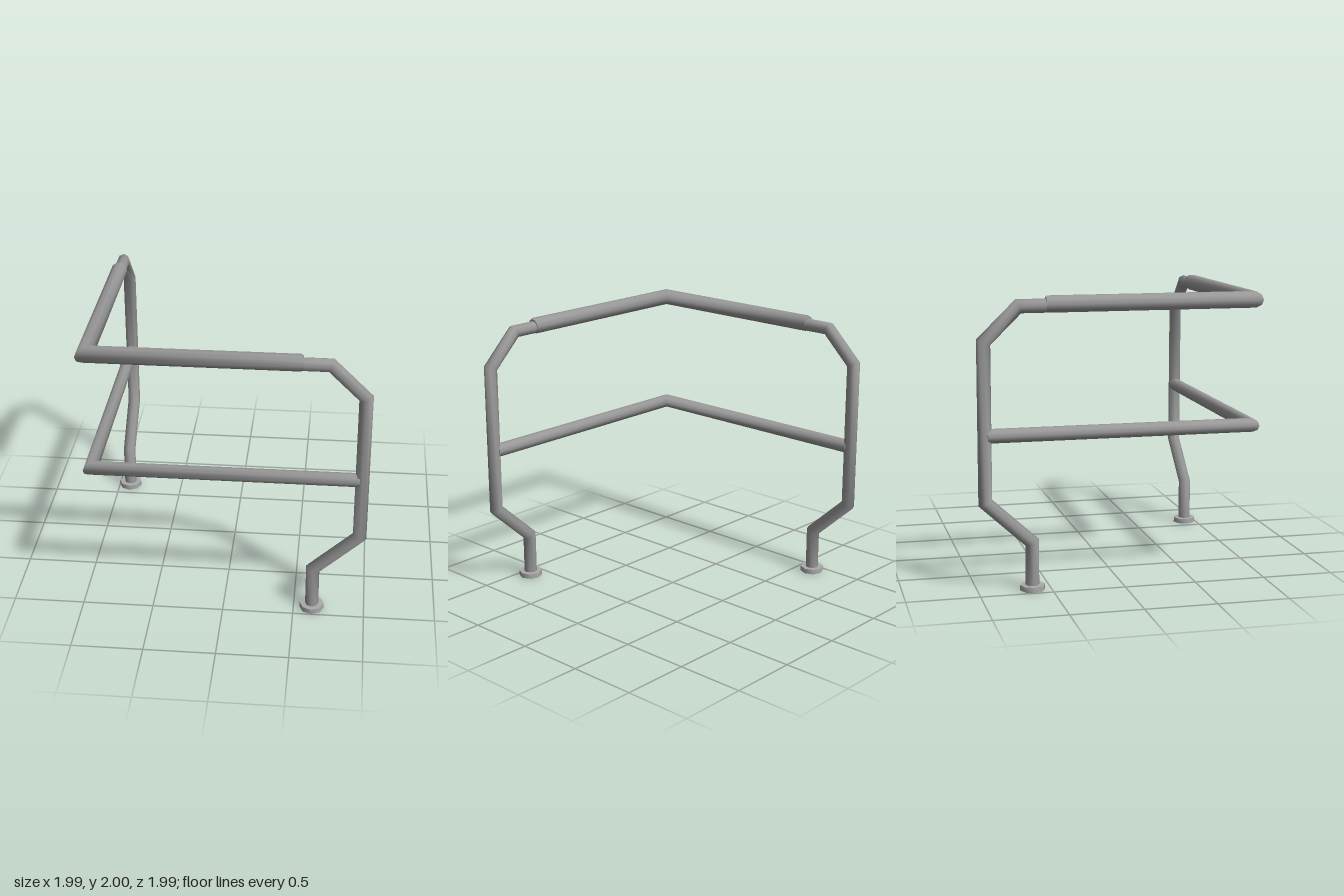
import * as THREE from 'three';
import { toCreasedNormals } from 'three/addons/utils/BufferGeometryUtils.js';

const C = 0.911; // distance of both rail planes from the centre
const V = (x, y, z) => new THREE.Vector3(x, y, z);

// Mitred pipe along a path lying in the plane with normal n; radii per point.
// Rings are shared at the bends, so the shading flows round the corners.
function pipe(points, n, radii, sides) {
  const pos = [], nor = [], idx = [];
  const put = (p, m) => {
    pos.push(p.x, p.y, p.z);
    nor.push(m.x, m.y, m.z);
    return pos.length / 3 - 1;
  };
  const dirs = points.slice(1).map((p, i) => p.clone().sub(points[i]).normalize());
  const last = points.length - 1;
  points.forEach((p, i) => {
    const before = dirs[i - 1] ?? dirs[i], after = dirs[i] ?? before;
    const m = before.clone().add(after).normalize();
    const across = n.clone().cross(m);
    const stretch = 1 / m.dot(after); // widens the ring on the mitre plane
    const ring = [];
    for (let j = 0; j <= sides; j++) {
      const a = (j / sides) * Math.PI * 2;
      const normal = across.clone().multiplyScalar(Math.cos(a)).addScaledVector(n, Math.sin(a));
      const q = p.clone()
        .addScaledVector(across, Math.cos(a) * radii[i] * stretch)
        .addScaledVector(n, Math.sin(a) * radii[i]);
      ring.push(q);
      const k = put(q, normal);
      if (i < last && j < sides) {
        const up = k + sides + 1;
        idx.push(k, k + 1, up, up, k + 1, up + 1);
      }
    }
    p.ring = ring;
  });
  // flat caps on the two ends of the path
  const cap = (p, normal, flip) => {
    const c = put(p, normal);
    p.ring.forEach((q) => put(q, normal));
    for (let j = 1; j <= sides; j++) idx.push(c, c + j + (flip ? 1 : 0), c + j + (flip ? 0 : 1));
  };
  cap(points[0], dirs[0].clone().negate(), true);
  cap(points[last], dirs[last - 1], false);
  const g = new THREE.BufferGeometry();
  g.setAttribute('position', new THREE.Float32BufferAttribute(pos, 3));
  g.setAttribute('normal', new THREE.Float32BufferAttribute(nor, 3));
  g.setIndex(idx);
  return g;
}

export function createModel() {
  const group = new THREE.Group();
  const pipeGrey = new THREE.MeshStandardMaterial({ color: 0x999999 });
  const footGrey = new THREE.MeshStandardMaterial({ color: 0xaaaaaa });
  const add = (name, geometry, material) => {
    const mesh = new THREE.Mesh(geometry, material);
    mesh.name = name;
    group.add(mesh);
    return mesh;
  };
  const up = V(0, 1, 0);

  // Thick L-shaped handrail with slightly bevelled ends
  const top = 1.944;
  add('handrail', pipe(
    [V(0.527, top, C), V(0.513, top, C), V(-C, top, C), V(-C, top, -0.513), V(-C, top, -0.527)],
    up, [0.049, 0.0585, 0.0585, 0.0585, 0.049], 10), pipeGrey);

  // Thinner L-shaped middle rail, ending inside the posts
  const mid = 1.075;
  add('middleRail', pipe(
    [V(0.93, mid, C), V(-C, mid, C), V(-C, mid, -0.93)], up, [0.049, 0.049, 0.049], 10), pipeGrey);

  // Bent post profile: distance along the rail, height
  const bends = [[0.48, 1.934], [0.711, 1.934], [0.946, 1.703], [0.946, 0.622], [0.63, 0.332], [0.63, 0.006]];
  const radii = bends.map(() => 0.047);

  // Octagonal foot flange with a recess underneath
  const flange = toCreasedNormals(new THREE.LatheGeometry(
    [[0.04, 0.02], [0.062, 0.02], [0.062, 0], [0.086, 0], [0.086, 0.037], [0.04, 0.037]]
      .map(([r, y]) => new THREE.Vector2(r, y)), 8), 0.9);

  // The two posts mirror each other across the rail corner
  const ends = [
    { name: 'left', at: (u, y) => V(u, y, C), n: V(0, 0, 1) },
    { name: 'rear', at: (u, y) => V(-C, y, -u), n: V(1, 0, 0) },
  ];
  for (const { name, at, n } of ends) {
    add(name + 'Post', pipe(bends.map(([u, y]) => at(u, y)), n, radii, 8), pipeGrey);
    add(name + 'Foot', flange, footGrey).position.copy(at(0.63, 0));
  }
  return group;
}
